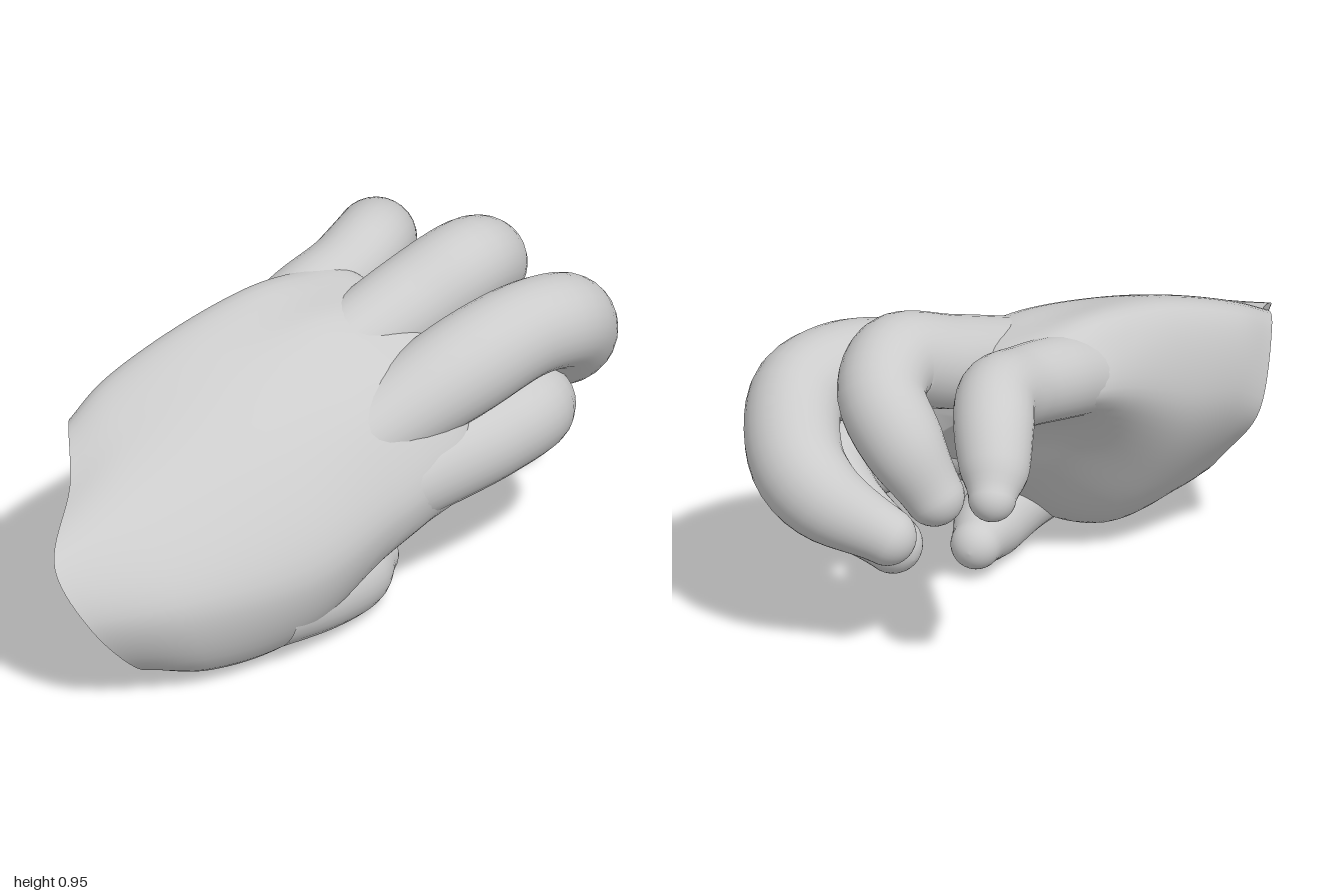
import * as THREE from 'three';

const material = new THREE.MeshStandardMaterial({ color: 0xcccccc });

function toMesh(name, pos, idx) {
  const geo = new THREE.BufferGeometry();
  geo.setAttribute('position', new THREE.Float32BufferAttribute(pos, 3));
  geo.setIndex(idx);
  geo.computeVertexNormals();
  const mesh = new THREE.Mesh(geo, material);
  mesh.name = name;
  return mesh;
}

function centre(ring) {
  return ring.reduce((s, p) => s.add(p), new THREE.Vector3()).divideScalar(ring.length);
}

// Smooth skin through a list of closed rings; the last ring closes on its centre.
function skin(name, rings) {
  const n = rings[0].length;
  const pos = [], idx = [];
  rings.forEach((ring) => ring.forEach((p) => pos.push(p.x, p.y, p.z)));
  for (let r = 0; r < rings.length - 1; r++) {
    for (let i = 0; i < n; i++) {
      const a = r * n + i, b = r * n + ((i + 1) % n);
      idx.push(a, b, a + n, b, b + n, a + n);
    }
  }
  const mid = centre(rings[rings.length - 1]), base = (rings.length - 1) * n;
  pos.push(mid.x, mid.y, mid.z);
  for (let i = 0; i < n; i++) idx.push(base + i, base + ((i + 1) % n), rings.length * n);
  return toMesh(name, pos, idx);
}

// Tapering finger along [x, y, z, radius] points, with a domed tip.
function finger(name, pts) {
  const path = new THREE.CatmullRomCurve3(pts.map(([x, y, z]) => new THREE.Vector3(x, y, z)));
  const radii = new THREE.SplineCurve(pts.map((p, i) => new THREE.Vector2(p[3], i)));
  const steps = 40, sides = 28, rings = [];
  const frames = path.computeFrenetFrames(steps);
  const ring = (c, k, r) => Array.from({ length: sides }, (_, i) => {
    const a = (i / sides) * Math.PI * 2;
    return c.clone()
      .addScaledVector(frames.normals[k], Math.cos(a) * r)
      .addScaledVector(frames.binormals[k], Math.sin(a) * r);
  });
  for (let k = 0; k <= steps; k++) {
    const t = path.getUtoTmapping(k / steps);
    rings.push(ring(path.getPoint(t), k, radii.getPoint(t).x));
  }
  const r = pts[pts.length - 1][3], end = path.getPoint(1);
  for (let k = 1; k <= 8; k++) {
    const a = (k / 8) * Math.PI * 0.49;
    const c = end.clone().addScaledVector(frames.tangents[steps], Math.sin(a) * r);
    rings.push(ring(c, steps, Math.cos(a) * r));
  }
  return skin(name, rings);
}

// Slant of the wrist cut at the eight corners of a cross-section.
const slant = [-.08, .09, .3, .25, .03, -.08, -.17, -.19];

// Cross-sections from wrist to knuckles: depth, share of the slant, and [x, y]
// corners running clockwise from the little-finger edge of the back.
const sections = [
  { z: .7, lean: 1, xy: [[-.2, .64], [0, .57], [.18, .45], [.28, .28], [.25, .07], [.08, .1], [-.1, .24], [-.26, .43]] },
  { z: .54, lean: .6, xy: [[-.21, .71], [0, .66], [.23, .52], [.4, .29], [.33, .04], [.09, .075], [-.11, .24], [-.26, .48]] },
  { z: .25, lean: .15, xy: [[-.19, .8], [.02, .77], [.3, .6], [.48, .3], [.36, .05], [.1, .06], [-.11, .26], [-.265, .54]] },
  { z: -.02, lean: 0, xy: [[-.18, .835], [.06, .81], [.32, .635], [.46, .38], [.38, .2], [.16, .23], [-.07, .42], [-.27, .64]] },
  { z: -.18, lean: 0, xy: [[-.17, .83], [.08, .81], [.32, .67], [.455, .42], [.38, .26], [.2, .34], [0, .51], [-.27, .68]] },
  { z: -.33, lean: 0, xy: [[-.16, .81], [.07, .79], [.31, .67], [.43, .44], [.37, .31], [.2, .41], [.02, .56], [-.24, .69]] },
];

function palmRings() {
  const around = 64, along = 56;
  const loops = sections.map(({ z, lean, xy }) => {
    const corners = xy.map(([x, y], i) => new THREE.Vector3(x, y, z + lean * slant[i]));
    const loop = new THREE.CatmullRomCurve3(corners, true);
    return Array.from({ length: around }, (_, i) => loop.getPoint(i / around));
  });
  // rounded end between the finger roots
  const last = loops[loops.length - 1], mid = centre(last);
  loops.push(last.map((p) => p.clone().lerp(mid, 0.35).setZ(-0.4)));
  const columns = Array.from({ length: around }, (_, i) =>
    new THREE.CatmullRomCurve3(loops.map((l) => l[i])));
  return Array.from({ length: along + 1 }, (_, k) => columns.map((c) => {
    const p = c.getPoint(k / along);
    // shallow tendon ridges across the back, fading away from the knuckles
    const fade = Math.exp(-(((p.z + 0.08) / 0.2) ** 2));
    if (p.y + 0.8 * p.x > 0.62) p.y += 0.007 * fade * Math.cos((p.x + 0.17) * 25);
    return p;
  }));
}

export function createModel() {
  const hand = new THREE.Group();
  hand.name = 'hand';

  // wrist and palm
  const rings = palmRings();
  hand.add(skin('palm', rings));

  // cut across the wrist
  const rim = rings[0], mid = centre(rim), pos = [mid.x, mid.y, mid.z], idx = [];
  rim.forEach((p, i) => {
    pos.push(p.x, p.y, p.z);
    idx.push(0, ((i + 1) % rim.length) + 1, i + 1);
  });
  hand.add(toMesh('wristCut', pos, idx));

  // curled fingers and thumb
  hand.add(finger('littleFinger', [
    [-.14, .67, -.02, .11], [-.165, .72, -.2, .118], [-.19, .755, -.38, .115], [-.235, .782, -.52, .113],
    [-.31, .74, -.61, .113], [-.39, .65, -.69, .097], [-.425, .6, -.735, .068],
  ]));
  hand.add(finger('ringFinger', [
    [.06, .65, -.02, .12], [.07, .76, -.4, .133], [.085, .82, -.6, .13],
    [.03, .765, -.71, .124], [-.07, .65, -.725, .117], [-.155, .51, -.69, .086],
  ]));
  hand.add(finger('middleFinger', [
    [.25, .51, 0, .12], [.31, .655, -.37, .143], [.33, .71, -.6, .137], [.32, .685, -.75, .135],
    [.215, .56, -.86, .134], [.11, .48, -.865, .122], [-.05, .38, -.77, .083],
  ]));
  hand.add(finger('indexFinger', [
    [.31, .38, .02, .13], [.325, .41, -.2, .138], [.33, .425, -.48, .127],
    [.285, .43, -.665, .126], [.18, .395, -.71, .114], [-.01, .325, -.705, .084],
  ]));
  hand.add(finger('thumb', [
    [.32, .16, .34, .12], [.3, .125, .12, .11], [.25, .1, -.05, .1], [.19, .095, -.165, .072],
  ]));

  return hand;
}
